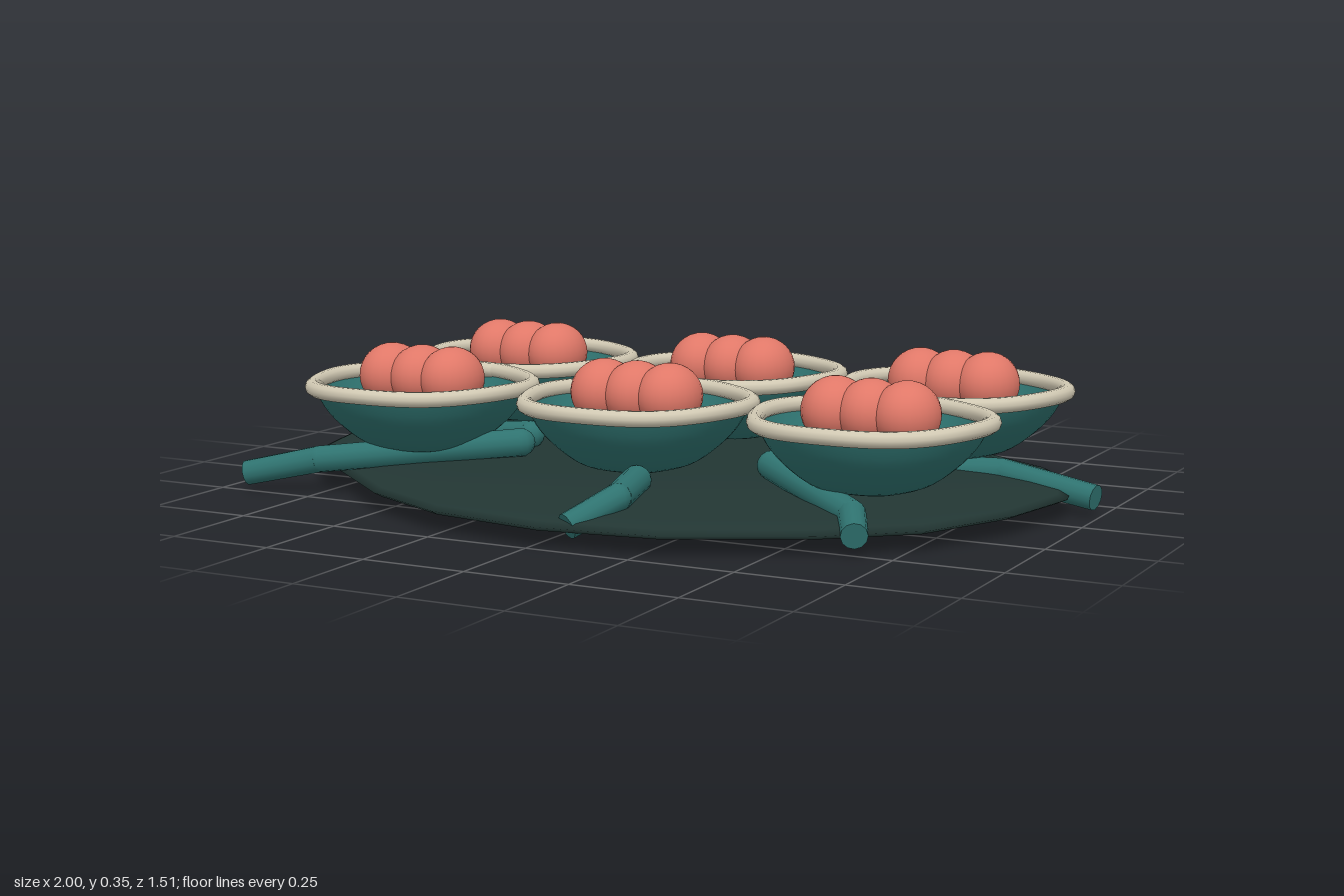
import * as THREE from 'three';

const mat = (name, color, side = THREE.FrontSide) =>
  Object.assign(new THREE.MeshStandardMaterial({ color, side }), { name });

// Push a round form into a soft, slightly wide five-cornered one
function fiveLobed(geo) {
  const p = geo.attributes.position;
  for (let i = 0; i < p.count; i++) {
    const x = p.getX(i), z = p.getZ(i);
    const a = Math.atan2(z, x);
    const k = 1 - 0.026 * Math.sin(5 * a) + 0.012 * Math.cos(2 * a);
    p.setX(i, x * k);
    p.setZ(i, z * k);
  }
  return geo;
}

// Lens-shaped slab: the outline shrunk in rings towards both poles
function slabGeometry(outline, steps) {
  const n = outline.length, pos = [], idx = [];
  for (let j = 0; j <= steps; j++) {
    const a = -Math.PI / 2 + (Math.PI * j) / steps;
    const s = Math.max(Math.cos(a), 0.0005);
    for (const [x, z] of outline) pos.push(x * s, 0.05 + 0.048 * Math.sin(a), z * s);
  }
  for (let j = 0; j < steps; j++) {
    for (let i = 0; i < n; i++) {
      const a = j * n + i, b = j * n + ((i + 1) % n);
      idx.push(a, a + n, b, b, a + n, b + n);
    }
  }
  const g = new THREE.BufferGeometry();
  g.setAttribute('position', new THREE.Float32BufferAttribute(pos, 3));
  g.setIndex(idx);
  g.computeVertexNormals();
  return g;
}

export function createModel() {
  const model = new THREE.Group();
  const dark = mat('darkBase', 0x223633);
  const teal = mat('teal', 0x2f7370);
  const tealOpen = mat('tealBowl', 0x2f7370, THREE.DoubleSide);
  const cream = mat('creamRim', 0xd2cab4);
  const coral = mat('coral', 0xe07868);

  const add = (parent, name, geo, material, x = 0, y = 0, z = 0) => {
    const m = new THREE.Mesh(geo, material);
    m.name = name;
    m.position.set(x, y, z);
    parent.add(m);
    return m;
  };

  // Base slab, outlined from the left round the back, right and front
  const outline = [
    [-1, -0.04], [-0.95, -0.24], [-0.8, -0.43], [-0.5, -0.57], [-0.18, -0.62],
    [0.16, -0.57], [0.52, -0.545], [0.8, -0.37], [0.9, -0.23], [0.945, -0.06],
    [0.9, 0.17], [0.79, 0.4], [0.6, 0.56], [0.3, 0.71], [0.02, 0.75],
    [-0.27, 0.705], [-0.5, 0.59], [-0.7, 0.42], [-0.85, 0.3], [-0.94, 0.19],
  ];
  add(model, 'baseSlab', slabGeometry(outline, 14), dark);

  // Bent roots spreading over the slab
  const roots = [
    [[0.225, 0.13, -0.38], [0.26, 0.1, -0.55], [0.51, 0.045, -0.74]],
    [[-0.2, 0.13, -0.35], [-0.34, 0.1, -0.47], [-0.325, 0.055, -0.6]],
    [[-0.37, 0.12, 0.1], [-0.72, 0.08, -0.01], [-0.92, 0.045, -0.11]],
    [[-0.32, 0.125, 0.23], [-0.75, 0.085, 0.455], [-0.925, 0.045, 0.5]],
    [[0.1, 0.105, 0.43], [0.145, 0.1, 0.6], [0.08, 0.05, 0.71]],
    [[0.42, 0.07, -0.13], [0.75, 0.08, -0.165], [0.99, 0.047, -0.125]],
    [[0.35, 0.13, 0.25], [0.62, 0.075, 0.42], [0.67, 0.05, 0.52]],
  ];
  const up = new THREE.Vector3(0, 1, 0);
  for (const path of roots) {
    const root = new THREE.Group();
    root.name = 'root';
    const pts = path.map((p) => new THREE.Vector3(...p));
    const radii = [0.034, 0.032, 0.03];
    for (let i = 0; i < 2; i++) {
      const dir = pts[i + 1].clone().sub(pts[i]);
      const mid = pts[i].clone().add(pts[i + 1]).multiplyScalar(0.5);
      const seg = add(root, 'rootSegment',
        new THREE.CylinderGeometry(radii[i + 1], radii[i], dir.length(), 12), teal, ...mid);
      seg.quaternion.setFromUnitVectors(up, dir.normalize());
      add(root, 'rootJoint', new THREE.SphereGeometry(radii[i], 12, 8), teal, ...pts[i]);
    }
    model.add(root);
  }

  // Shared cup shapes
  const profile = new THREE.SplineCurve([
    [0, 0.1], [0.07, 0.102], [0.13, 0.118], [0.185, 0.158], [0.228, 0.205], [0.257, 0.26],
  ].map(([r, y]) => new THREE.Vector2(r, y))).getPoints(18);
  const bowlGeo = fiveLobed(new THREE.LatheGeometry(profile, 60));
  const rimGeo = fiveLobed(new THREE.TorusGeometry(0.258, 0.0185, 10, 80).rotateX(Math.PI / 2));
  const moundGeo = new THREE.SphereGeometry(0.155, 32, 16).scale(1, 0.28, 1);
  const beadGeo = new THREE.SphereGeometry(0.08, 24, 16).scale(0.94, 0.95, 1.08);

  // Six cups, each with a mound and three beads
  for (const z of [-0.22, 0.28]) {
    for (const x of [-0.565, 0.02, 0.603]) {
      const cup = new THREE.Group();
      cup.name = 'cup';
      cup.position.set(x, 0, z);
      add(cup, 'bowl', bowlGeo, tealOpen);
      add(cup, 'rim', rimGeo, cream, 0, 0.259, 0);
      add(cup, 'mound', moundGeo, coral, 0, 0.167, 0);
      for (const bx of [-0.085, 0, 0.085]) add(cup, 'bead', beadGeo, coral, bx, 0.275, 0);
      model.add(cup);
    }
  }
  return model;
}
